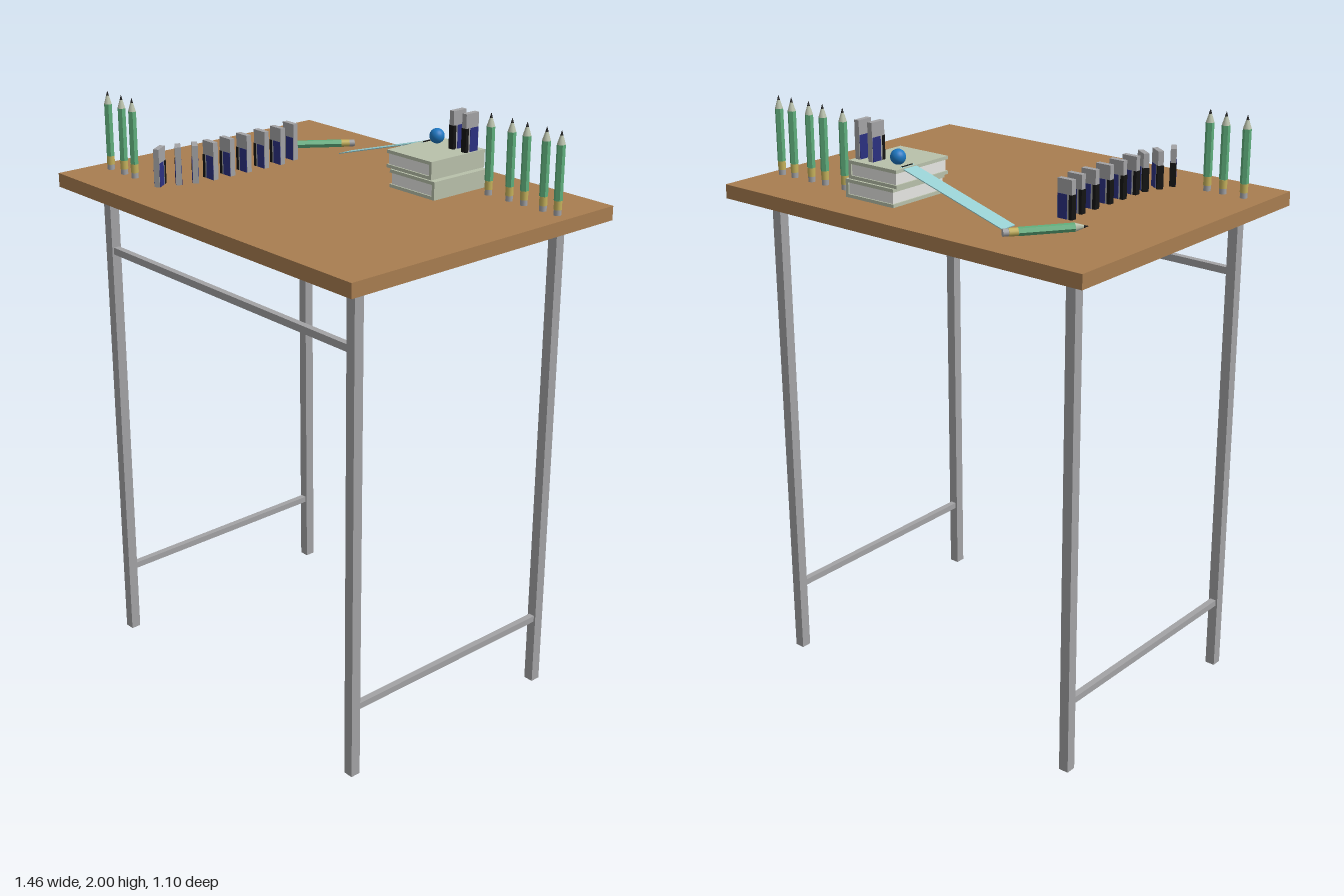
import * as THREE from 'three';

export function createModel() {
  const root = new THREE.Group();
  root.name = 'deskWithRollingBallCourse';

  const mat = (name, color, flatShading = false) => {
    const m = new THREE.MeshStandardMaterial({ color, flatShading });
    m.name = name;
    return m;
  };
  const wood = mat('brown wood', 0xa87d50);
  const steel = mat('grey', 0xa3a3a5);
  const navy = mat('navy blue', 0x2b3080);
  const black = mat('black', 0x141414);
  const green = mat('pencil green', 0x5fae7c, true);
  const yellow = mat('ferrule yellow', 0xc6b25c);
  const ballBlue = mat('ball blue', 0x1e78c2);
  const cover = mat('pale green', 0xb9c1ab);
  const cyan = mat('ruler cyan', 0x98cfd2);
  const white = mat('paper white', 0xf0f0ec);

  const add = (parent, name, geo, material, x = 0, y = 0, z = 0) => {
    const mesh = new THREE.Mesh(geo, material);
    mesh.name = name;
    mesh.position.set(x, y, z);
    parent.add(mesh);
    return mesh;
  };
  const box = (parent, name, w, h, d, material, x, y, z) =>
    add(parent, name, new THREE.BoxGeometry(w, h, d), material, x, y, z);
  const group = (name, x, y, z) => {
    const g = new THREE.Group();
    g.name = name;
    g.position.set(x, y, z);
    root.add(g);
    return g;
  };

  // Table: top, four square legs, side rails and one front rail
  const deskY = 1.735;
  box(root, 'tableTop', 1.46, 0.047, 1.1, wood, 0, deskY - 0.0235, 0);
  for (const sx of [-1, 1]) {
    for (const sz of [-1, 1]) {
      box(root, 'leg', 0.035, 1.69, 0.035, steel, sx * 0.61, 0.845, sz * 0.427);
    }
    box(root, 'sideRail', 0.022, 0.022, 0.83, steel, sx * 0.61, 0.25, 0);
  }
  box(root, 'frontRail', 1.19, 0.024, 0.022, steel, 0, 1.472, 0.427);

  // Hexagonal pencil standing on its eraser, 0.265 long
  const pencil = (x, y, z) => {
    const g = group('pencil', x, y, z);
    const part = (name, r0, r1, from, to, material, sides = 6) =>
      add(g, name, new THREE.CylinderGeometry(r1, r0, to - from, sides), material, 0, (from + to) / 2, 0);
    part('pencilEraser', 0.012, 0.012, 0, 0.018, steel, 12);
    part('pencilFerrule', 0.013, 0.013, 0.018, 0.047, yellow, 12);
    part('pencilBody', 0.014, 0.014, 0.047, 0.222, green);
    part('pencilCone', 0.014, 0.005, 0.222, 0.25, cover);
    part('pencilLead', 0.005, 0.0005, 0.25, 0.265, black);
    return g;
  };
  for (const x of [-0.655, -0.577, -0.517]) pencil(x, deskY, 0.39);
  for (const x of [0.387, 0.477, 0.54, 0.62, 0.68]) pencil(x, deskY, -0.345);
  const lying = pencil(-0.337, deskY + 0.0125, -0.422);
  lying.name = 'lyingPencil';
  lying.quaternion.setFromUnitVectors(
    new THREE.Vector3(0, 1, 0), new THREE.Vector3(-0.153, 0, 0.215).normalize());

  // Upright eraser with a blue, grey and black paper sleeve round its lower part
  const eraser = (x, y, z, turn) => {
    const g = group('eraser', x, y, z);
    g.rotation.y = turn;
    box(g, 'eraserBlock', 0.056, 0.125, 0.019, steel, 0, 0.0625, 0);
    box(g, 'blueSleeve', 0.036, 0.078, 0.021, navy, 0.008, 0.039, 0);
    box(g, 'blackSleeve', 0.012, 0.078, 0.021, black, -0.023, 0.039, 0);
  };
  const row = [
    [-0.363, -0.15, 0], [-0.347, -0.08, 0], [-0.347, -0.01, 0], [-0.347, 0.065, 0],
    [-0.347, 0.135, 0], [-0.347, 0.205, 0], [-0.352, 0.265, -0.6], [-0.371, 0.319, -0.6],
    [-0.391, 0.379, -1.0],
  ];
  for (const [x, z, turn] of row) eraser(x, deskY, z, turn);
  for (const x of [0.235, 0.291]) eraser(x, 1.857, -0.352, Math.PI / 2);

  // Two stacked books with their spines on the left
  const book = (x0, x1, y0, h) => {
    const g = group('book', (x0 + x1) / 2, y0, -0.286);
    const w = x1 - x0, d = 0.24, t = 0.011;
    box(g, 'lowerCover', w, t, d, cover, 0, t / 2, 0);
    box(g, 'upperCover', w, t, d, cover, 0, h - t / 2, 0);
    box(g, 'spine', t, h - 2 * t, d, cover, w / 2 - t / 2, h / 2, 0);
    box(g, 'pages', w - t - 0.005, h - 2 * t, d - 0.01, white, -t / 2 + 0.0025, h / 2, 0);
  };
  book(0.117, 0.322, deskY, 0.06);
  book(0.102, 0.307, 1.798, 0.059);

  // Ruler leaning from the desk onto the books as a ramp, with a dark end stop
  const rise = 0.12, run = 0.41;
  const ramp = box(root, 'rulerRamp', Math.hypot(rise, run), 0.003, 0.06, cyan,
    -0.09, deskY + rise / 2 + 0.002, -0.342);
  ramp.rotation.z = Math.atan2(rise, run);
  box(root, 'rampStop', 0.004, 0.004, 0.05, black, 0.114, 1.858, -0.342);

  // Ball waiting at the top of the ramp
  add(root, 'ball', new THREE.SphereGeometry(0.025, 24, 16), ballBlue, 0.15, 1.881, -0.344);

  return root;
}
